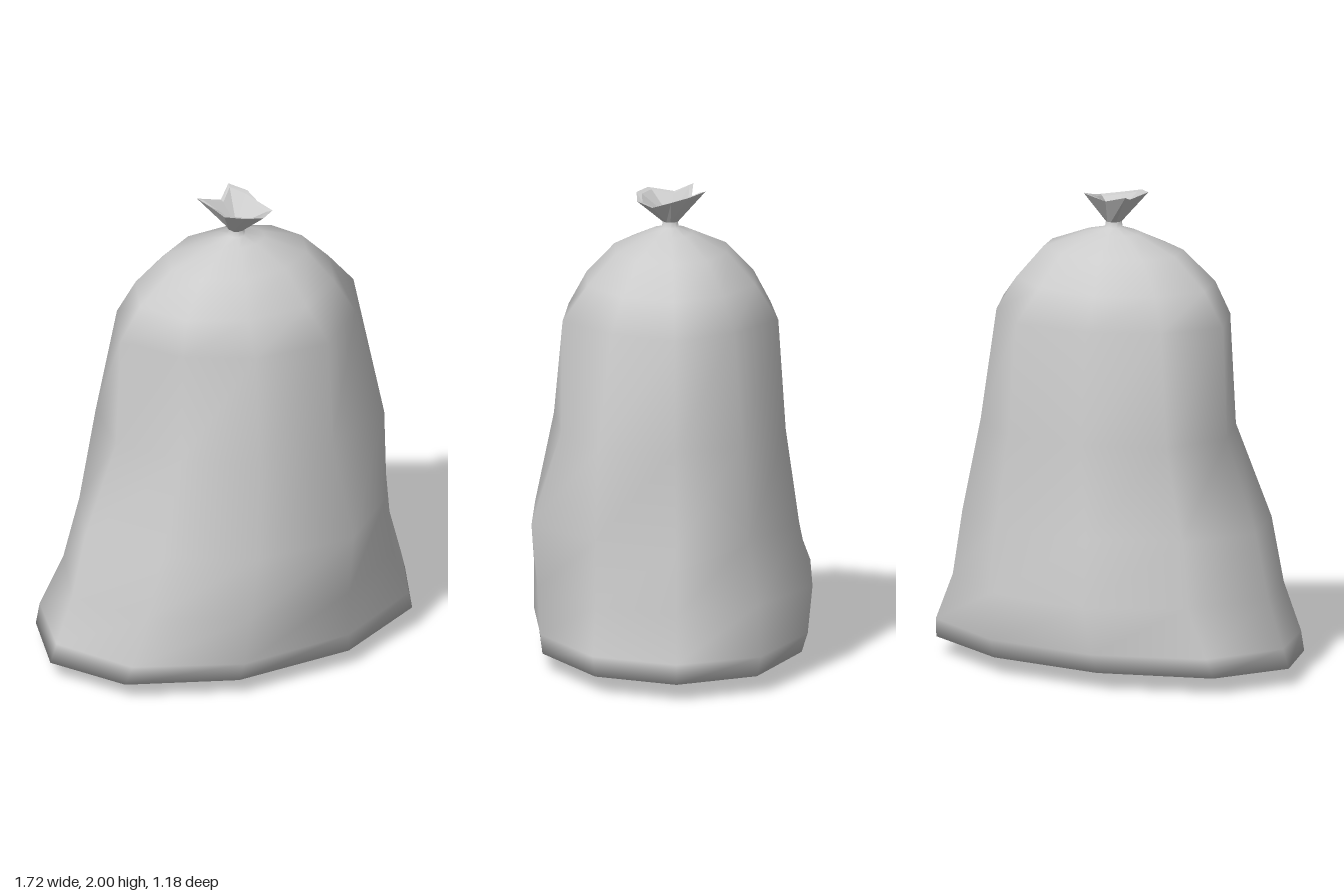
import * as THREE from 'three';
import { mergeVertices } from 'three/addons/utils/BufferGeometryUtils.js';

const SIDES = 10;

// Skin a stack of closed point rings, listed from the bottom up
function loft(rings) {
  const n = rings[0].length;
  const index = [];
  for (let i = 0; i < rings.length - 1; i++) {
    for (let j = 0; j < n; j++) {
      const k = (j + 1) % n;
      const a = i * n + j, b = a + n, c = i * n + k, d = c + n;
      index.push(a, b, c, c, b, d);
    }
  }
  let geo = new THREE.BufferGeometry();
  geo.setAttribute('position', new THREE.Float32BufferAttribute(rings.flat(2), 3));
  geo.setIndex(index);
  geo = mergeVertices(geo, 1e-4);
  geo.computeVertexNormals();
  return geo;
}

// Ten-sided oval given its extents; dents scale the front corners (left side
// to right side), then the back corners (right side to left side)
function oval([y, xMin, xMax, front, back, dents = []]) {
  const cx = (xMin + xMax) / 2, rx = (xMax - xMin) / 2;
  return Array.from({ length: SIDES }, (_, j) => {
    const t = (j / SIDES) * Math.PI * 2;
    const c = Math.cos(t), s = Math.sin(t);
    const rz = (s > 0 ? front : -back) / Math.sin(Math.PI * 0.4);
    const k = j % 5 === 0 ? 1 : dents[j < 5 ? j - 1 : j - 2] ?? 1;
    return [cx + rx * c * k, y, rz * s * k];
  });
}

export function createModel() {
  const group = new THREE.Group();
  const grey = new THREE.MeshStandardMaterial({ color: 0xcccccc, side: THREE.DoubleSide });

  // Sack: y, min x, max x, front z, back z, dents
  const sack = [
    [0, 0, 0, 0, 0],
    [0.035, -0.57, 0.57, 0.36, -0.36],
    [0.07, -0.86, 0.86, 0.54, -0.54, [1, 1, 1, 1, 1.04, 1, 1, 1.02]],
    [0.15, -0.83, 0.84, 0.56, -0.56, [0.99, 0.98, 1, 1, 1.04, 1.01, 1.01, 1.03]],
    [0.35, -0.755, 0.785, 0.56, -0.58, [0.95, 1, 1, 0.97, 0.97, 1.02, 1.01, 0.97]],
    [0.62, -0.69, 0.76, 0.58, -0.52, [0.92, 1.01, 0.96, 0.95, 0.97, 0.95, 1.02, 0.96]],
    [1.01, -0.54, 0.65, 0.48, -0.475, [1.07, 0.96, 1, 0.92, 1.06, 1, 1, 0.97]],
    [1.48, -0.52, 0.61, 0.455, -0.44, [0.92, 1, 0.92, 0.91, 0.94, 0.96, 1.01, 0.92]],
    [1.62, -0.425, 0.49, 0.35, -0.35, [0.97, 1, 0.98, 0.97, 0.96, 1, 1, 0.97]],
    [1.75, -0.27, 0.36, 0.23, -0.235],
    [1.82, -0.08, 0.17, 0.09, -0.09],
    [1.84, 0.005, 0.08, 0.035, -0.035],
    [1.87, 0.01, 0.075, 0.03, -0.03],
  ].map(oval);
  const body = new THREE.Mesh(loft(sack), grey);
  body.name = 'sack';
  group.add(body);

  // Gathered top: ragged rim corners, flaring out of the tied neck
  const rim = [
    [0.145, 1.965, 0.0], [0.17, 1.95, 0.08], [0.09, 1.96, 0.14], [0.0, 1.98, 0.14], [-0.07, 1.985, 0.09],
    [-0.055, 1.97, -0.02], [-0.09, 1.995, -0.1], [0.02, 1.965, -0.09], [0.09, 2.0, -0.145], [0.14, 1.985, -0.075],
  ];
  const neckX = 0.042;
  const neck = rim.map(([x, , z]) => {
    const r = Math.hypot(x - neckX, z);
    return [neckX + (x - neckX) / r * 0.034, 1.865, z / r * 0.034];
  });
  // Outside up to the rim, over a thin lip, then down inside to a point
  const lip = rim.map(([x, y, z]) => [neckX + (x - neckX) * 0.84, y - 0.006, z * 0.84]);
  const flare = loft([neck, rim, lip, rim.map(() => [neckX, 1.88, 0])]);
  const top = new THREE.Mesh(flare, grey.clone());
  top.material.flatShading = true;
  top.name = 'tiedTop';
  group.add(top);

  return group;
}
